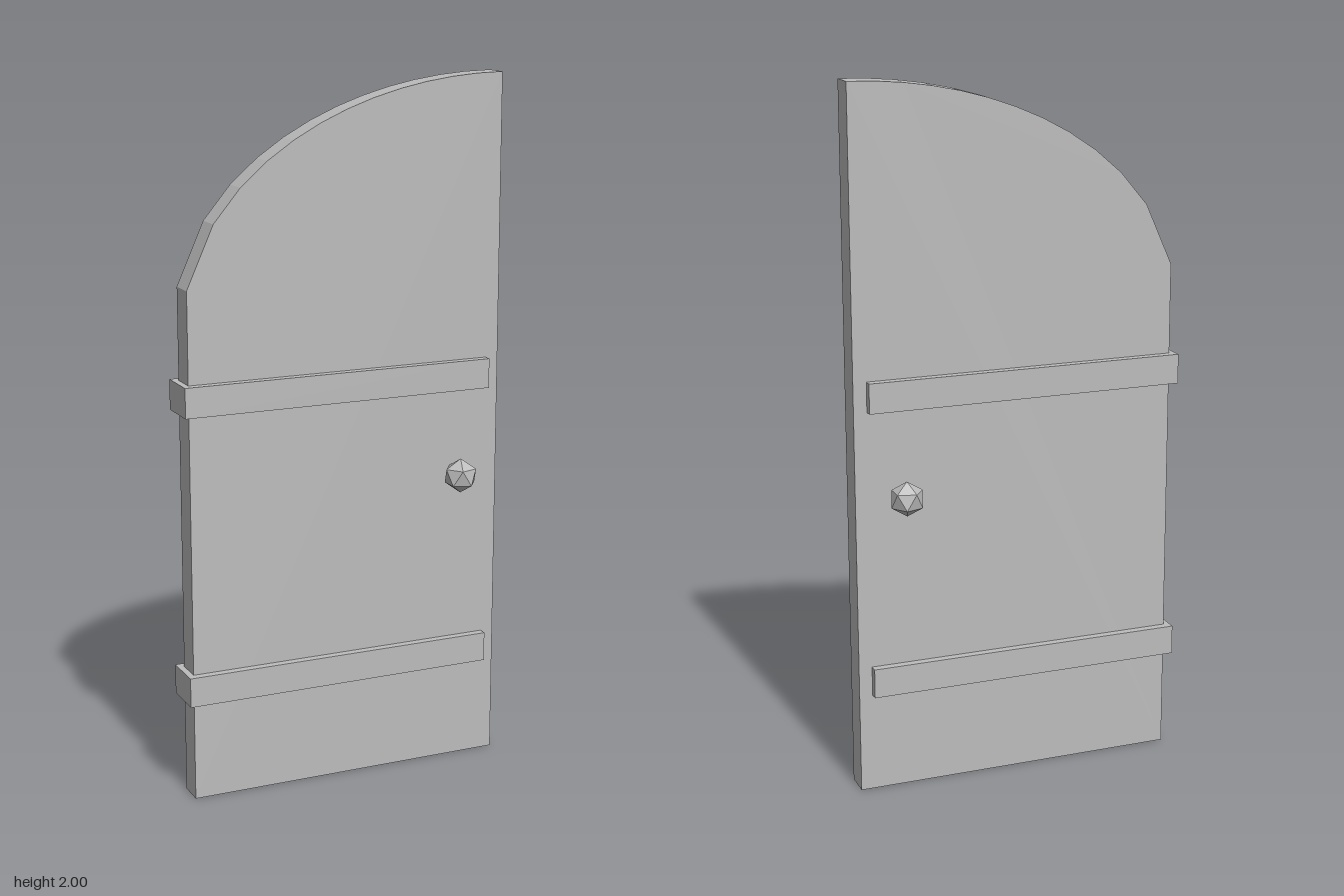
import * as THREE from 'three';

export function createModel() {
  const door = new THREE.Group();
  door.name = 'door';
  const grey = new THREE.MeshStandardMaterial({ color: 0xbcbcbc, flatShading: true });
  grey.name = 'plain grey';

  const add = (name, geometry, x, y, z) => {
    const mesh = new THREE.Mesh(geometry, grey);
    mesh.name = name;
    mesh.position.set(x, y, z);
    door.add(mesh);
  };

  // Door leaf: half of an arched doorway, its top a faceted elliptical sweep
  const left = -0.462, right = 0.478, thickness = 0.076, steps = 12;
  const outline = new THREE.Shape();
  outline.moveTo(left, 0);
  outline.lineTo(right, 0);
  for (let i = 0; i <= steps; i++) {
    const run = ((right - left) * i) / steps;
    outline.lineTo(right - run, 1.35 + 0.65 * Math.sqrt(1 - (run / 0.952) ** 2));
  }
  outline.closePath();
  const leaf = new THREE.ExtrudeGeometry(outline, { depth: thickness, bevelEnabled: false });
  add('doorLeaf', leaf, 0, 0, -thickness / 2);

  // Two straps that wrap the hinge edge and show on both faces
  add('lowerStrap', new THREE.BoxGeometry(0.92, 0.085, 0.124), -0.02, 0.328, 0);
  add('upperStrap', new THREE.BoxGeometry(0.92, 0.085, 0.124), -0.02, 1.153, 0);

  // Faceted knobs, one on each face, with a corner pointing straight up
  const knob = new THREE.IcosahedronGeometry(0.05, 0);
  knob.rotateZ(Math.atan(2 / (1 + Math.sqrt(5))));
  add('frontKnob', knob, 0.343, 0.866, 0.08);
  add('backKnob', knob, 0.343, 0.866, -0.08);

  return door;
}
